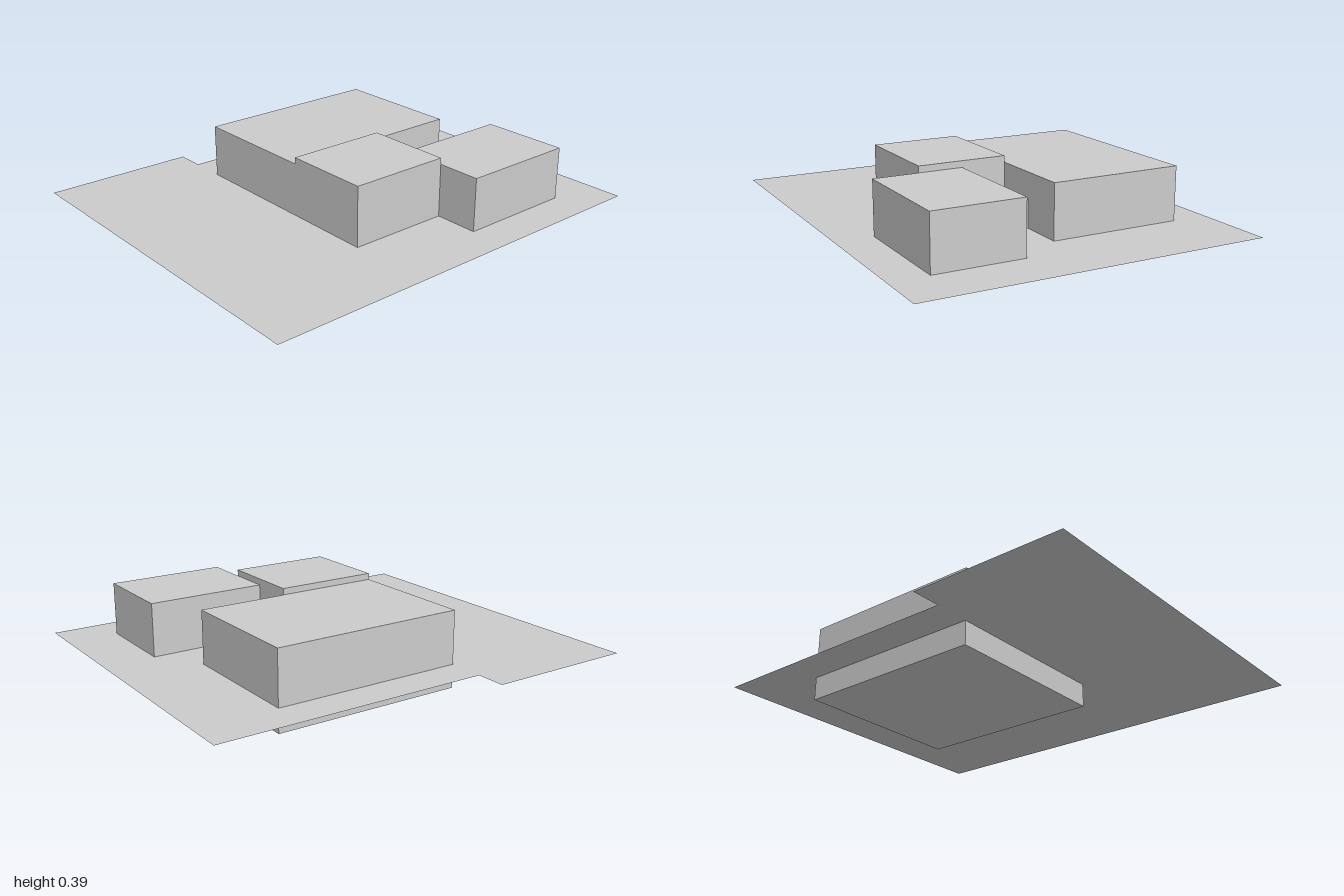
import * as THREE from 'three';

const GROUND = 0.11;

export function createModel() {
  const group = new THREE.Group();
  const material = new THREE.MeshStandardMaterial({ color: 0xcccccc, flatShading: true });

  // Block given by its extents on each axis
  const block = (name, [x0, x1], [y0, y1], [z0, z1]) => {
    const mesh = new THREE.Mesh(new THREE.BoxGeometry(x1 - x0, y1 - y0, z1 - z0), material);
    mesh.position.set((x0 + x1) / 2, (y0 + y1) / 2, (z0 + z1) / 2);
    mesh.name = name;
    group.add(mesh);
  };

  // Paper-thin site plot with a step in its right edge, outline in (x, z)
  const outline = [[-0.87, 1], [0.87, 1], [0.87, -1], [-0.73, -1], [-0.73, 0.285], [-0.87, 0.285]];
  const shape = new THREE.Shape(outline.map(([x, z]) => new THREE.Vector2(x, -z)));
  const sheet = material.clone();
  sheet.side = THREE.DoubleSide;
  const plot = new THREE.Mesh(new THREE.ShapeGeometry(shape).rotateX(-Math.PI / 2), sheet);
  plot.position.y = GROUND;
  plot.name = 'sitePlot';
  group.add(plot);

  // Cellar below the plot
  block('basement', [-0.56, 0.275], [0, GROUND], [-0.62, 0.285]);

  // Buildings standing on the plot
  block('mainBuilding', [-0.56, 0.065], [GROUND, 0.36], [-0.62, 0.285]);
  block('frontWing', [0.065, 0.482], [GROUND, 0.39], [-0.2, 0.285]);
  block('backBuilding', [0.275, 0.693], [GROUND, 0.36], [-0.757, -0.2]);
  block('lowLink', [0.065, 0.275], [GROUND, 0.24], [-0.408, -0.2]);

  return group;
}
